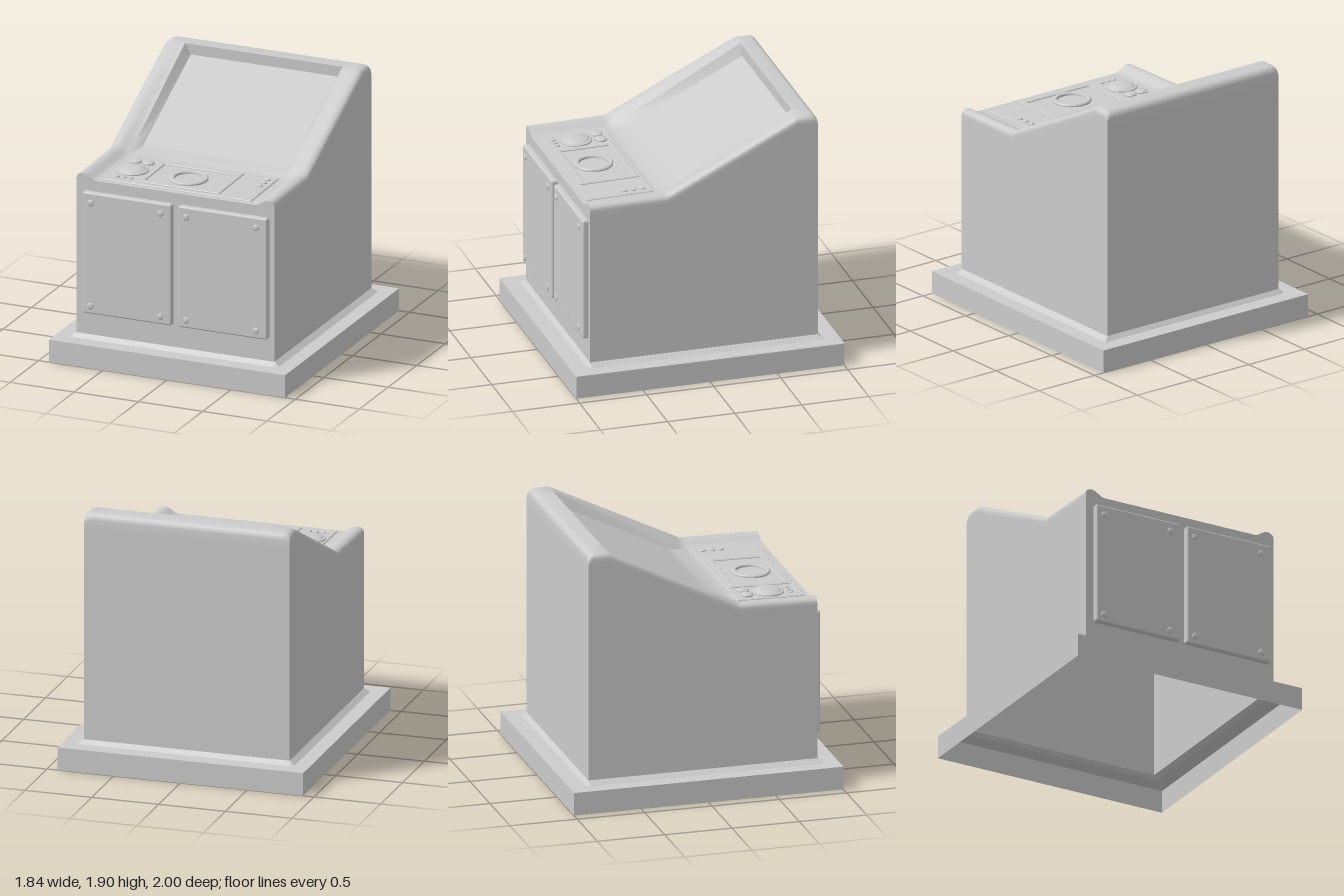
import * as THREE from 'three';
import { toCreasedNormals } from 'three/addons/utils/BufferGeometryUtils.js';
import { RoundedBoxGeometry } from 'three/addons/geometries/RoundedBoxGeometry.js';

const solid = new THREE.MeshStandardMaterial({ color: 0xcccccc });
const shell = new THREE.MeshStandardMaterial({ color: 0xcccccc, side: THREE.DoubleSide });

function add(parent, name, geometry, x = 0, y = 0, z = 0, material = solid) {
  const mesh = new THREE.Mesh(geometry, material);
  mesh.name = name;
  mesh.position.set(x, y, z);
  parent.add(mesh);
  return mesh;
}

// Skin a list of equally long rows of points
function loft(rows, crease) {
  const n = rows[0].length, index = [];
  for (let i = 0; i < rows.length - 1; i++) {
    for (let j = 0; j < n - 1; j++) {
      const a = i * n + j, b = a + 1, c = a + n, d = c + 1;
      index.push(a, b, d, a, d, c);
    }
  }
  const g = new THREE.BufferGeometry();
  g.setAttribute('position', new THREE.Float32BufferAttribute(rows.flat(2), 3));
  g.setIndex(index);
  return toCreasedNormals(g, crease);
}

// One cross-section of the cabinet: flared foot, side wall, rounded cheek, inner surface.
// y = cheek height, drop = fall to the inner edge, (xi, yi) = start of the inner surface
function section({ z, y, drop, xi, yi, cap = 9 }) {
  const half = [[0.81, 0.17], [0.77, 0.2], [0.77, y - 0.06]];
  for (let k = 0; k <= 4; k++) {
    const a = (k / 4) * Math.PI / 2;
    half.push([0.72 + 0.05 * Math.cos(a), y - 0.035 + 0.035 * Math.sin(a)]);
  }
  for (let k = 1; k <= 5; k++) {
    const t = k / 5;
    half.push([0.72 - 0.105 * t, y - drop * (1 - Math.cos(Math.PI * t)) / 2]);
  }
  half.push([xi, yi]);
  const put = (s) => ([px, py]) => [s * px, Math.min(py, cap), z];
  return [...half.map(put(-1)), ...half.reverse().map(put(1))];
}

function bodyGeometry() {
  const deck = (z, cap) => {
    const y = 1.41 + 0.01 * (0.85 - z) / 0.58;
    return { z, y, drop: 0.045, xi: 0.61, yi: y - 0.045, cap };
  };
  const slope = (z) => {
    const t = (0.27 - z) / 0.97, y = 1.42 + 0.48 * t;
    const b = Math.min(1, (0.27 - z) / 0.12);       // lower bevel of the screen recess
    return { z, y, drop: 0.045 * (1 - t), xi: 0.61 - 0.04 * b,
      yi: b < 1 ? 1.375 + 0.022 * b : y - 0.08 };
  };
  const top = (z, y, cap) => ({ z, y, drop: 0, xi: 0.57, yi: y, cap });
  const rows = [
    { ...deck(0.85, 0.17), z: 0.88 }, deck(0.85, 0.2), deck(0.85), deck(0.3), deck(0.27),
    slope(0.24), slope(0.15), slope(0.12), slope(-0.2), slope(-0.67), slope(-0.7), top(-0.7, 1.9),
  ];
  for (let k = 0; k <= 4; k++) {                    // rounded top rear edge
    const a = (k / 4) * Math.PI / 2;
    rows.push(top(-0.8 - 0.05 * Math.sin(a), 1.85 + 0.05 * Math.cos(a)));
  }
  rows.push(top(-0.85, 1.85, 1.78), top(-0.85, 1.85, 0.2), top(-0.88, 1.85, 0.17));
  return loft(rows.map(section), 0.62);
}

// Open-bottomed plinth: outer walls and a top flange around the cabinet
function plinthGeometry() {
  const ring = ([x, z, y]) => [[-x, y, z], [x, y, z], [x, y, -z], [-x, y, -z], [-x, y, z]];
  return loft([[0.92, 1, 0], [0.92, 1, 0.17], [0.8, 0.87, 0.17]].map(ring), 0.1);
}

function lathe(points, segments = 40) {
  const profile = points.map(([x, y]) => new THREE.Vector2(x, y));
  return toCreasedNormals(new THREE.LatheGeometry(profile, segments), 0.6);
}

// Low button with a rounded rim
const button = (r, h) => lathe([[r, 0], [r, h * 0.5], [r * 0.85, h * 0.8], [r * 0.5, h * 0.97], [0, h]], 24);

// Flat plate with chamfered edges, lying in the xz plane; optional rectangular opening
function plate(w, d, h, opening) {
  const rect = (path, a, b) => {
    path.moveTo(-a / 2, -b / 2); path.lineTo(a / 2, -b / 2);
    path.lineTo(a / 2, b / 2); path.lineTo(-a / 2, b / 2); path.closePath();
    return path;
  };
  const c = 0.006, s = rect(new THREE.Shape(), w - 2 * c, d - 2 * c);
  if (opening) s.holes.push(rect(new THREE.Path(), opening[0] + 2 * c, opening[1] + 2 * c));
  const g = new THREE.ExtrudeGeometry(s, { depth: h - c, bevelThickness: c, bevelSize: c, bevelSegments: 1 });
  return g.rotateX(-Math.PI / 2);
}

function createControls() {
  const g = new THREE.Group();
  g.name = 'controlDeck';
  g.position.set(0, 1.37, 0.56);
  g.rotation.x = 0.017;
  const at = (name, geo, x, y, z) => add(g, name, geo, x, y, z - 0.56);
  const h = 0.009;                                  // top of the base plate
  at('controlPlate', plate(1.155, 0.5, 0.015), -0.008, h - 0.015, 0.56);
  at('displayFrame', plate(0.64, 0.44, 0.012, [0.555, 0.35]), -0.01, h - 0.002, 0.56);
  at('dialRing', lathe([[0.14, 0], [0.14, 0.01], [0.133, 0.018], [0.12, 0.02], [0.108, 0.017], [0.104, 0.008], [0.104, 0]], 48),
    -0.015, h, 0.58);
  at('trackballCollar', lathe([[0.116, 0], [0.116, 0.008], [0.11, 0.013], [0.095, 0.013]]), -0.455, h, 0.575);
  const ball = at('trackball', new THREE.SphereGeometry(0.1, 40, 12, 0, Math.PI * 2, 0, Math.PI / 2), -0.455, h + 0.006, 0.575);
  ball.scale.y = 0.27;
  for (const x of [-0.505, -0.405]) at('largeButton', button(0.044, 0.02), x, h, 0.405);
  for (const x of [-0.506, -0.454, -0.402]) at('smallButton', button(0.018, 0.012), x, h, 0.73);
  for (const z of [0.378, 0.445, 0.512]) at('sideButton', button(0.023, 0.013), 0.507, h, z);
  return g;
}

function createDoor(x0, x1) {
  const g = new THREE.Group();
  g.name = 'frontDoor';
  add(g, 'doorPanel', new RoundedBoxGeometry(x1 - x0, 0.915, 0.065, 3, 0.014), (x0 + x1) / 2, 0.8275, 0.8605);
  for (const x of [x0 + 0.065, x1 - 0.085]) {
    for (const y of [0.43, 1.21]) {
      add(g, 'doorBolt', button(0.024, 0.012).rotateX(Math.PI / 2), x, y, 0.892);
    }
  }
  return g;
}

export function createModel() {
  const model = new THREE.Group();
  model.name = 'controlConsole';
  add(model, 'plinth', plinthGeometry(), 0, 0, 0, shell);
  add(model, 'cabinet', bodyGeometry(), 0, 0, 0, shell);
  model.add(createControls(), createDoor(-0.708, -0.015), createDoor(0.037, 0.73));
  return model;
}
